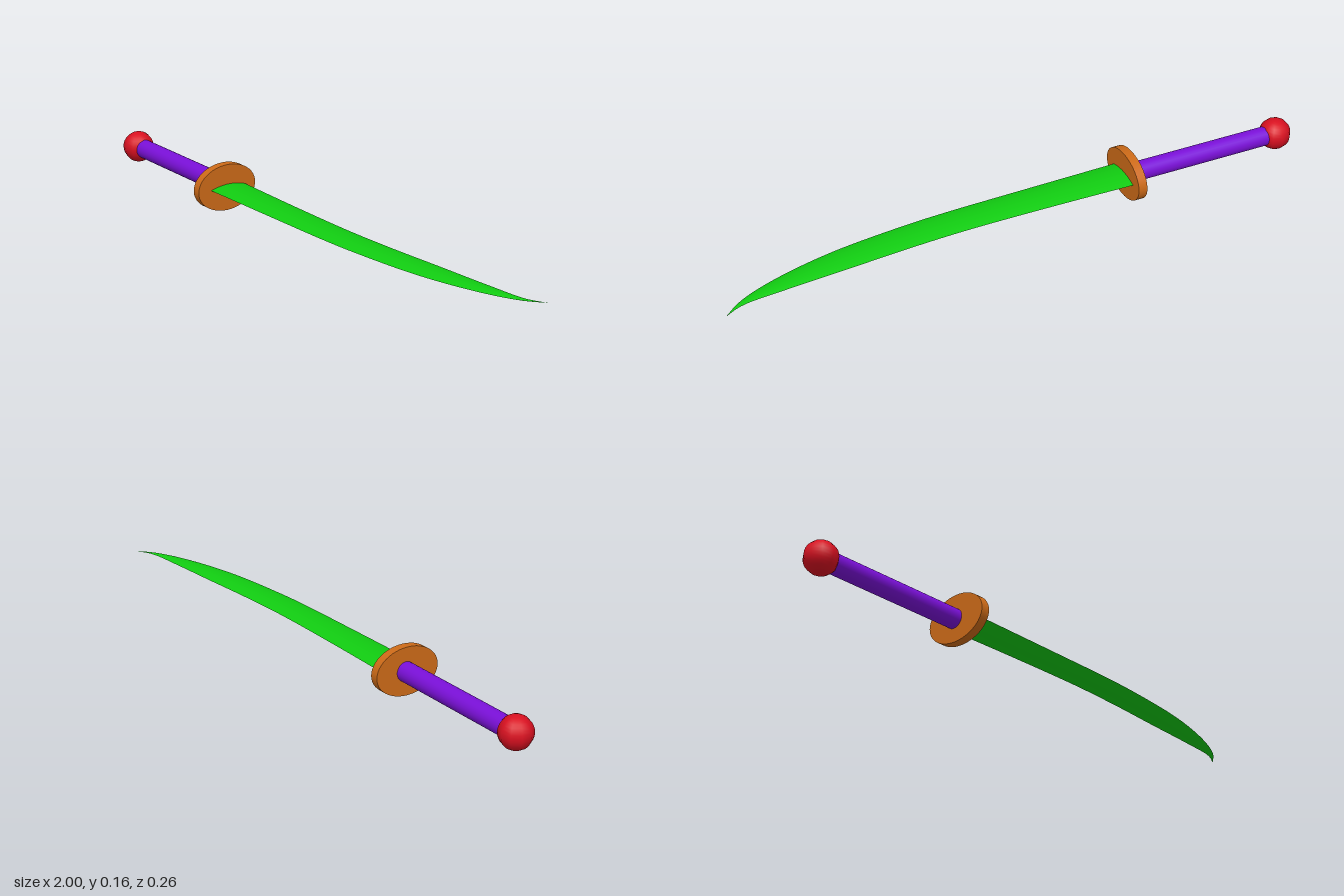
import * as THREE from 'three';
import { mergeGeometries } from 'three/addons/utils/BufferGeometryUtils.js';

const AXIS_Y = 0.078; // height of the sword's long axis

// Outline of the blade in plan, as [x, z] points
const SPINE = [[-0.4, -0.053], [-0.1, -0.047], [0.2, -0.047], [0.4, -0.057], [0.6, -0.073], [0.8, -0.088], [0.94, -0.104], [1, -0.133]];
const EDGE = [[-0.4, 0.081], [0, 0.073], [0.2, 0.068], [0.35, 0.059], [0.62, 0.025], [0.83, -0.032], [0.94, -0.083], [1, -0.133]];

function outline(points) {
  const curve = new THREE.CatmullRomCurve3(points.map(([x, z]) => new THREE.Vector3(x, 0, z)));
  const samples = curve.getPoints(200);
  return (x) => {
    const i = Math.max(1, samples.findIndex((p) => p.x >= x - 1e-9));
    const a = samples[i - 1], b = samples[i];
    return THREE.MathUtils.mapLinear(x, a.x, b.x, a.z, b.z);
  };
}

// One convex face of the blade: side 1 is the top, -1 the bottom
function bladeFace(side, spine, edge) {
  const g = new THREE.PlaneGeometry(2, 2, 40, 12);
  g.rotateX(-side * Math.PI / 2);
  const p = g.attributes.position;
  for (let i = 0; i < p.count; i++) {
    const u = (p.getX(i) + 1) / 2;
    const v = p.getZ(i);
    const x = Math.min(1, -0.4 + 1.4 * (1 - (1 - u) ** 1.4)); // denser towards the tip
    const z0 = spine(x), z1 = edge(x);
    const half = 0.011 * Math.pow(Math.max(0, (z1 - z0) / 0.134), 0.8);
    p.setXYZ(i, x, AXIS_Y + side * half * (1 - v * v), z0 + (z1 - z0) * (v + 1) / 2);
  }
  g.computeVertexNormals();
  return g;
}

export function createModel() {
  const model = new THREE.Group();
  const add = (name, geometry, color, x = 0, y = 0, z = 0) => {
    const mesh = new THREE.Mesh(geometry, new THREE.MeshStandardMaterial({ color }));
    mesh.name = name;
    mesh.position.set(x, y, z);
    model.add(mesh);
    return mesh;
  };

  // Curved blade with a lens-shaped section
  const spine = outline(SPINE), edge = outline(EDGE);
  const blade = add('blade', mergeGeometries([bladeFace(1, spine, edge), bladeFace(-1, spine, edge)]), 0x11cc11);
  blade.material.side = THREE.DoubleSide;

  // Oval guard
  const guard = new THREE.CylinderGeometry(1, 1, 0.03, 48).rotateZ(Math.PI / 2).scale(1, 0.078, 0.111);
  add('guard', guard, 0xcc6a18, -0.403, AXIS_Y, 0.018);

  // Round grip
  const grip = new THREE.CylinderGeometry(0.032, 0.032, 0.53, 24).rotateZ(Math.PI / 2);
  add('grip', grip, 0x7a10d8, -0.67, AXIS_Y, 0.012);

  // Ball pommel
  const pommel = new THREE.SphereGeometry(0.053, 10, 16);
  pommel.rotateY(Math.PI / 2);
  add('pommel', pommel, 0xd81020, -0.949, AXIS_Y, 0.012);

  return model;
}
